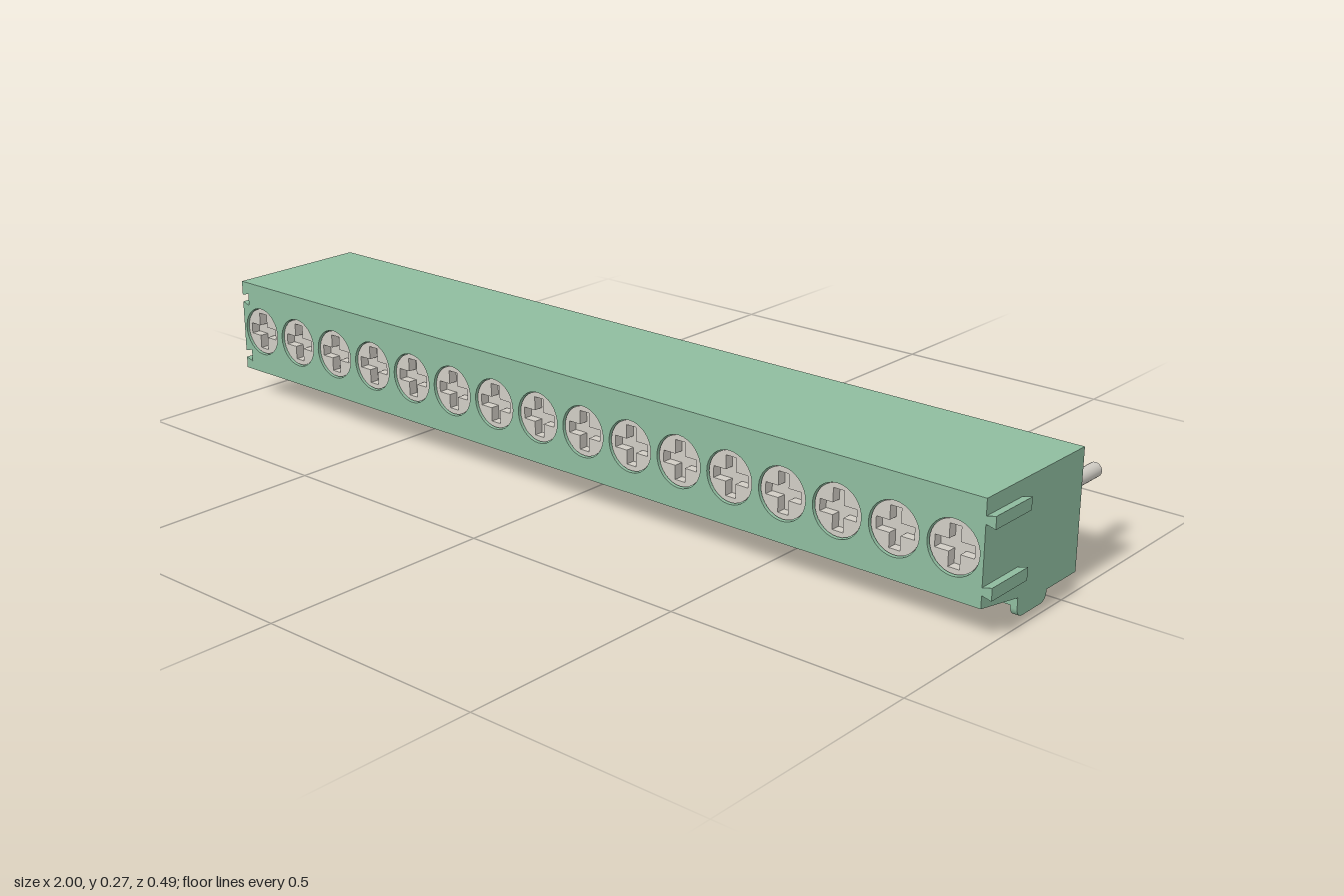
import * as THREE from 'three';

const POLES = 16, X0 = -1, X1 = 0.98, PITCH = (X1 - X0) / POLES;
const TOP = 0.268, BACK = -0.082, MID = 0.12, FRONT = 0.243;
const AXIS = 0.16, POCKET_TOP = 0.165, POCKET_FRONT = 0.08;
const RIBS = [0.095, 0.228];

export function createModel() {
  const group = new THREE.Group();
  const green = new THREE.MeshStandardMaterial({ color: 0x8fbc9f });
  const metal = new THREE.MeshStandardMaterial({ color: 0xd0ccc4 });

  const add = (name, geometry, material, x = 0, y = 0, z = 0) => {
    const mesh = new THREE.Mesh(geometry, material);
    mesh.name = name;
    mesh.position.set(x, y, z);
    group.add(mesh);
    return mesh;
  };
  const block = (name, xa, xb, ya, yb, za, zb) =>
    add(name, new THREE.BoxGeometry(xb - xa, yb - ya, zb - za), green,
      (xa + xb) / 2, (ya + yb) / 2, (za + zb) / 2);
  const polygon = (points) => new THREE.Shape(points.map(([x, y]) => new THREE.Vector2(x, y)));
  const extrude = (shape, depth, curveSegments = 8) =>
    new THREE.ExtrudeGeometry(shape, { depth, bevelEnabled: false, curveSegments });

  // Front of the housing: screw holes, dovetail grooves on the right end
  const outline = [[X0, 0.04], [X1, 0.04], [X1, TOP], [X0, TOP]];
  for (const y of [...RIBS].reverse()) {
    outline.push([X0, y + 0.008], [X0 + 0.02, y + 0.0135], [X0 + 0.02, y - 0.0135], [X0, y - 0.008]);
  }
  const face = polygon(outline);
  for (let i = 0; i < POLES; i++) {
    const hole = new THREE.Path();
    hole.absarc(X0 + PITCH * (i + 0.5), AXIS, 0.054, 0, Math.PI * 2, true);
    face.holes.push(hole);
  }
  const frontGeometry = extrude(face, FRONT - MID, 16);
  // Slope the underside up towards the front
  const p = frontGeometry.attributes.position;
  for (let i = 0; i < p.count; i++) {
    if (p.getY(i) < 0.045) p.setY(i, 0.04 + 0.022 * p.getZ(i) / (FRONT - MID));
  }
  frontGeometry.computeVertexNormals();
  add('frontHousing', frontGeometry, green, 0, 0, MID);

  // Rear of the housing: roof and inner wall around the open pockets
  block('roof', X0, X1, POCKET_TOP, TOP, BACK, MID);
  block('innerWall', X0, X1, 0.022, POCKET_TOP, POCKET_FRONT, MID);

  // Foot section with rounded lower corners, drawn in (-z, y)
  const foot = new THREE.Shape();
  foot.moveTo(-MID, 0.045);
  foot.lineTo(-MID, 0.018);
  foot.absarc(-MID + 0.018, 0.018, 0.018, Math.PI, Math.PI * 1.5, false);
  foot.absarc(-0.038, 0.018, 0.018, Math.PI * 1.5, Math.PI * 2, false);
  foot.lineTo(-0.02, 0.045);

  // Dividers between the pockets, each on a narrow foot
  for (let i = 0; i <= POLES; i++) {
    const x = X0 + PITCH * i;
    const clip = (half) => [Math.max(X0, x - half), Math.min(X1, x + half)];
    const [da, db] = clip(0.028);
    block('divider', da, db, 0.022, POCKET_TOP, BACK, POCKET_FRONT);
    const [fa, fb] = clip(0.014);
    add('foot', extrude(foot, fb - fa), green, fa).rotation.y = Math.PI / 2;
  }

  // Dovetail ribs on the left end
  for (const y of RIBS) {
    const rib = polygon([[X1 - 0.002, y - 0.007], [1, y - 0.0125], [1, y + 0.0125], [X1 - 0.002, y + 0.007]]);
    add('dovetailRib', extrude(rib, FRONT - 0.127), green, 0, 0, 0.127);
  }

  // Screw head with a cross-shaped recess
  const head = new THREE.Shape();
  head.absarc(0, 0, 0.052, 0, Math.PI * 2, false);
  const a = 0.041, b = 0.012;
  head.holes.push(new THREE.Path([
    [a, b], [b, b], [b, a], [-b, a], [-b, b], [-a, b],
    [-a, -b], [-b, -b], [-b, -a], [b, -a], [b, -b], [a, -b],
  ].map(([x, y]) => new THREE.Vector2(x, y))));
  const headGeometry = extrude(head, 0.02, 16);
  const shankGeometry = new THREE.CylinderGeometry(0.052, 0.052, 0.09, 32).rotateX(Math.PI / 2);
  const pinGeometry = new THREE.CylinderGeometry(0.015, 0.015, 0.243 + POCKET_FRONT, 20).rotateX(Math.PI / 2);

  // One screw and one solder pin per pole
  for (let i = 0; i < POLES; i++) {
    const x = X0 + PITCH * (i + 0.5);
    add('screwHead', headGeometry, metal, x, AXIS, 0.218);
    add('screwShank', shankGeometry, metal, x, AXIS, 0.173);
    add('pin', pinGeometry, metal, x, AXIS, (POCKET_FRONT - 0.243) / 2);
  }
  return group;
}
